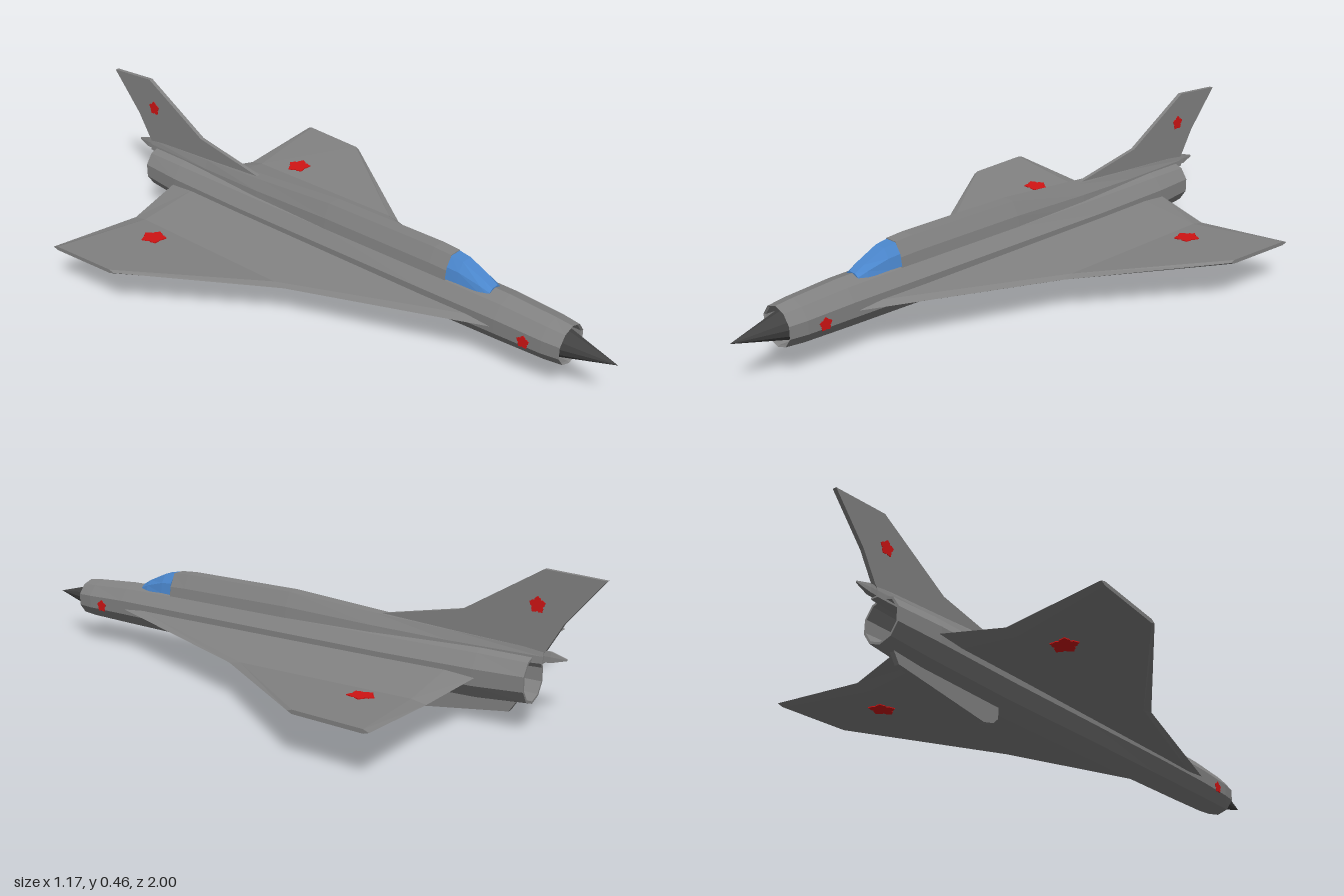
import * as THREE from 'three';

const grey = new THREE.MeshStandardMaterial({ name: 'airframeGrey', color: 0x828282 });
const dark = new THREE.MeshStandardMaterial({ name: 'darkGrey', color: 0x424242 });
const blue = new THREE.MeshStandardMaterial({ name: 'canopyBlue', color: 0x4a86cc });
const red = new THREE.MeshStandardMaterial({ name: 'markingRed', color: 0xd01414 });
for (const m of [grey, dark, blue, red]) m.flatShading = true;

// Skins a list of equal-length rings of [x, y, z] points
function loft(rings, caps = true) {
  const n = rings[0].length, index = [];
  for (let r = 0; r < rings.length - 1; r++) {
    for (let i = 0; i < n; i++) {
      const j = (i + 1) % n, a = r * n, b = a + n;
      index.push(a + i, b + i, a + j, a + j, b + i, b + j);
    }
  }
  if (caps) {
    const last = (rings.length - 1) * n;
    for (let i = 1; i < n - 1; i++) index.push(0, i, i + 1, last, last + i + 1, last + i);
  }
  const g = new THREE.BufferGeometry();
  g.setAttribute('position', new THREE.Float32BufferAttribute(rings.flat(2), 3));
  g.setIndex(index);
  const flat = g.toNonIndexed();
  flat.computeVertexNormals();
  return flat;
}

// Ten-sided fuselage ring with flat flanks
function bodyRing([z, cy, rx, ry]) {
  return Array.from({ length: 10 }, (_, i) => {
    const a = (i + 0.5) * Math.PI / 5;
    return [rx * Math.cos(a), cy + ry * Math.sin(a), z];
  });
}

// Rounded trapezoid ring for the canopy and spine
function spineRing([z, w, base, top]) {
  const mid = base + (top - base) * 0.55;
  const half = [[w, base], [w * 0.85, mid], [w * 0.42, top]];
  return [...half, ...half.map(([x, y]) => [-x, y]).reverse()].map(([x, y]) => [x, y, z]);
}

// Bevelled wing section; the leading and trailing points may differ in x
function wingRing([xl, zl, xt, zt, y, t]) {
  const at = (k, dy) => [xl + (xt - xl) * k, y + dy, zl + (zt - zl) * k];
  return [at(0, 0), at(0.06, t), at(0.93, t), at(1, 0), at(0.93, -t), at(0.06, -t)];
}

// Vertical plate from a (z, y) outline, centred on x = 0
function finGeometry(points, thickness) {
  const shape = new THREE.Shape(points.map(([z, y]) => new THREE.Vector2(z, y)));
  const g = new THREE.ExtrudeGeometry(shape, { depth: thickness, bevelEnabled: false });
  return g.translate(0, 0, -thickness / 2).rotateY(-Math.PI / 2);
}

// Five-lobed rosette plate facing +z
function rosette(radius) {
  const pts = Array.from({ length: 30 }, (_, i) => {
    const a = i * Math.PI / 15;
    const r = radius * (0.83 + 0.13 * Math.cos(5 * a) + (i % 2 ? -0.05 : 0.04));
    return new THREE.Vector2(-r * Math.sin(a), r * Math.cos(a));
  });
  return new THREE.ExtrudeGeometry(new THREE.Shape(pts), { depth: 0.003, bevelEnabled: false });
}

export function createModel() {
  const model = new THREE.Group();
  model.name = 'deltaWingJet';
  const add = (name, geometry, material, x = 0, y = 0, z = 0) => {
    const mesh = new THREE.Mesh(geometry, material);
    mesh.name = name;
    mesh.position.set(x, y, z);
    model.add(mesh);
    return mesh;
  };

  // Hollow tube: intake lining, outer skin, exhaust lining
  add('fuselage', loft([
    [0.78, 0.145, 0.056, 0.056], [0.85, 0.145, 0.058, 0.055], [0.855, 0.146, 0.062, 0.06],
    [0.8, 0.147, 0.07, 0.065], [0.65, 0.15, 0.076, 0.072], [0.4, 0.149, 0.08, 0.076],
    [0, 0.146, 0.08, 0.078], [-0.35, 0.143, 0.08, 0.081], [-0.65, 0.145, 0.077, 0.079],
    [-0.8, 0.148, 0.065, 0.07], [-0.8, 0.148, 0.058, 0.063], [-0.66, 0.148, 0.052, 0.055],
  ].map(bodyRing), false), grey);

  // Nose cone and the dark ends of the two ducts
  add('noseCone', new THREE.ConeGeometry(0.055, 0.21, 12).rotateX(Math.PI / 2), dark, 0, 0.145, 0.895);
  add('intakeDuct', new THREE.CircleGeometry(0.058, 10), dark, 0, 0.145, 0.785);
  add('exhaustDuct', new THREE.CircleGeometry(0.056, 10).rotateY(Math.PI), dark, 0, 0.148, -0.665);

  // Canopy and dorsal spine
  add('canopy', loft([
    [0.6, 0.03, 0.205, 0.225], [0.57, 0.036, 0.21, 0.243],
    [0.5, 0.044, 0.215, 0.274], [0.46, 0.047, 0.215, 0.28],
  ].map(spineRing)), blue);
  add('spine', loft([
    [0.46, 0.049, 0.19, 0.282], [0.4, 0.05, 0.19, 0.286], [0, 0.05, 0.19, 0.285],
    [-0.3, 0.043, 0.19, 0.265], [-0.55, 0.028, 0.19, 0.25], [-0.83, 0.012, 0.2, 0.236],
  ].map(spineRing)), grey);
  add('tailSpike', loft([
    [-0.74, 0.008, 0.205, 0.236], [-0.85, 0.008, 0.205, 0.235], [-0.895, 0.002, 0.217, 0.222],
  ].map(spineRing)), grey);

  // Both wings in one skin from right tip to left tip
  const half = [
    [0.565, -0.38, 0.585, -0.64, 0.134, 0.006], [0.27, 0.04, 0.27, -0.622, 0.115, 0.008],
    [0.065, 0.66, 0.065, -0.66, 0.146, 0.008],
  ];
  const mirrored = half.map(([xl, zl, xt, zt, y, t]) => [-xl, zl, -xt, zt, y, t]);
  add('wings', loft([...mirrored, ...half.slice().reverse()].map(wingRing)), grey);

  // Tail fin and ventral fin
  add('tailFin', finGeometry([
    [-0.28, 0.255], [-0.58, 0.315], [-0.82, 0.46], [-0.995, 0.45],
    [-0.885, 0.32], [-0.835, 0.235], [-0.8, 0.2], [-0.4, 0.22],
  ], 0.013), grey);
  add('ventralFin', finGeometry([
    [-0.34, 0.09], [-0.34, 0.03], [-0.36, 0.01], [-0.4, 0.0], [-0.735, 0.045],
    [-0.765, 0.09],
  ], 0.015), grey);

  // Red markings on wings, fin and nose
  for (const side of [1, -1]) {
    for (const face of [1, -1]) {
      const wingMark = add('wingMarking', rosette(0.041).rotateX(-face * Math.PI / 2), red,
        side * 0.335, 0.1192 + face * 0.0078, -0.46);
      wingMark.rotation.z = side * 0.06;
    }
    add('finMarking', rosette(0.025).rotateY(side * Math.PI / 2), red, side * 0.0055, 0.36, -0.805);
    const noseMark = add('noseMarking', rosette(0.021).rotateY(side * Math.PI / 2), red,
      side * 0.0675, 0.14, 0.745);
    noseMark.rotation.y = -side * 0.04;
  }
  return model;
}
